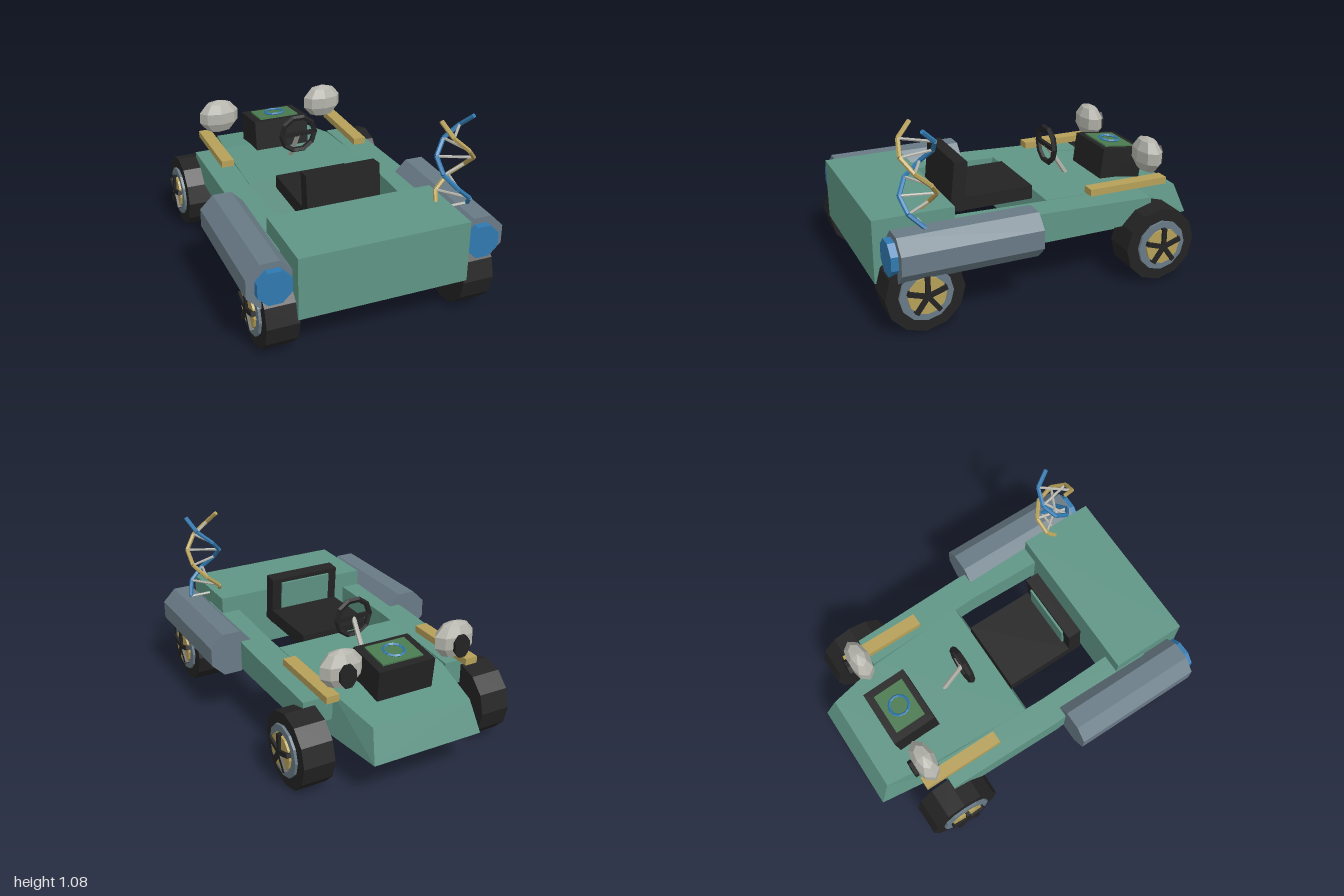
import * as THREE from 'three';

const mat = (name, color) => {
  const m = new THREE.MeshStandardMaterial({ color });
  m.name = name;
  return m;
};

export function createModel() {
  const car = new THREE.Group();
  car.name = 'buggy';
  const green = mat('body green', 0x5f9585);
  const black = mat('black', 0x232323);
  const steel = mat('steel grey', 0x687a85);
  const blue = mat('blue', 0x3079b0);
  const gold = mat('gold', 0xb59f58);
  const pale = mat('pale grey', 0xb4b4ac);
  const screenGreen = mat('screen green', 0x4a7a50);

  // Faceted mesh helper
  function add(name, geo, material, x = 0, y = 0, z = 0, parent = car) {
    const g = geo.index ? geo.toNonIndexed() : geo;
    g.computeVertexNormals();
    const mesh = new THREE.Mesh(g, material);
    mesh.name = name;
    mesh.position.set(x, y, z);
    parent.add(mesh);
    return mesh;
  }
  const box = (w, h, d) => new THREE.BoxGeometry(w, h, d);
  const cylX = (r, len, n) => new THREE.CylinderGeometry(r, r, len, n).rotateZ(Math.PI / 2);
  const cylZ = (r, len, n) => new THREE.CylinderGeometry(r, r, len, n).rotateY(Math.PI / n).rotateX(Math.PI / 2);

  // Solid through four-cornered sections, ordered by rising z
  function loft(sections) {
    const pos = [];
    const quad = (a, b, c, d) => pos.push(...a, ...b, ...c, ...a, ...c, ...d);
    for (let s = 0; s < sections.length - 1; s++) {
      const p = sections[s], q = sections[s + 1];
      for (let i = 0; i < 4; i++) {
        const j = (i + 1) % 4;
        quad(p[i], p[j], q[j], q[i]);
      }
    }
    const f = sections[0], l = sections[sections.length - 1];
    quad(f[3], f[2], f[1], f[0]);
    quad(l[0], l[1], l[2], l[3]);
    const g = new THREE.BufferGeometry();
    g.setAttribute('position', new THREE.Float32BufferAttribute(pos, 3));
    return g;
  }

  // Straight rod between two points
  function rod(name, a, b, r, material, n = 6) {
    const dir = b.clone().sub(a);
    const mesh = add(name, new THREE.CylinderGeometry(r, r, dir.length(), n), material);
    mesh.position.copy(a).add(b).multiplyScalar(0.5);
    mesh.quaternion.setFromUnitVectors(new THREE.Vector3(0, 1, 0), dir.normalize());
  }

  // Wedge nose: top z, y, half width; bottom z, half width
  const nose = [
    [-0.93, 0.41, 0.3, -1, 0.33],
    [-0.6, 0.465, 0.35, -0.6, 0.38],
    [-0.03, 0.49, 0.38, 0.03, 0.385],
  ].map(([zt, yt, wt, zb, wb]) => [[-wb, 0.23, zb], [wb, 0.23, zb], [wt, yt, zt], [-wt, yt, zt]]);
  add('nose', loft(nose), green);

  // Rear body block
  add('rearBody', box(0.96, 0.355, 0.45), green, 0, 0.415, 0.775);

  for (const s of [1, -1]) {
    const side = s > 0 ? 'left' : 'right';

    // Side rail: z, inner x, outer x, top
    const rail = [
      [-0.62, 0.36, 0.535, 0.465],
      [0.1, 0.38, 0.545, 0.49],
      [0.75, 0.365, 0.485, 0.5],
    ].map(([z, a, b, t]) => {
      const [l, r] = s > 0 ? [a, b] : [-b, -a];
      return [[l, 0.32, z], [r, 0.32, z], [r, t, z], [l, t, z]];
    });
    add(side + 'Rail', loft(rail), green);

    // Thruster pod with glowing end
    add(side + 'Pod', cylZ(0.138, 0.78, 8), steel, s * 0.598, 0.43, 0.535);
    add(side + 'PodEnd', cylZ(0.1, 0.04, 8), blue, s * 0.587, 0.43, 0.945);

    // Gold bar on the rail
    add(side + 'Bar', box(0.075, 0.04, 0.49), gold, s * 0.433, 0.525, -0.51);

    // Headlamp eye with pupil
    const eye = new THREE.SphereGeometry(1, 8, 5).scale(0.13, 0.11, 0.07);
    add(side + 'Eye', eye, pale, s * 0.352, 0.655, -0.693);
    const pupil = cylZ(1, 1, 8).scale(0.05, 0.068, 0.022);
    add(side + 'Pupil', pupil, black, s * 0.352, 0.64, -0.765);

    // Wheels
    for (const [end, z] of [['Rear', 0.78], ['Front', -0.625]]) {
      const wheel = new THREE.Group();
      wheel.name = side + end + 'Wheel';
      wheel.position.set(0, 0.217, z);
      car.add(wheel);
      add('tyre', cylX(0.217, 0.18, 12), black, s * 0.557, 0, 0, wheel);
      add('rim', cylX(0.148, 0.03, 12), steel, s * 0.647, 0, 0, wheel);
      add('hub', cylX(0.105, 0.03, 12), gold, s * 0.66, 0, 0, wheel);
      for (let i = 0; i < 5; i++) {
        const spoke = box(0.025, 0.11, 0.026).translate(0, 0.055, 0).rotateX(i * Math.PI * 0.4);
        add('spoke', spoke, black, s * 0.677, 0, 0, wheel);
      }
    }
  }

  // Seat
  add('seatBase', box(0.435, 0.08, 0.42), black, 0, 0.48, 0.19);
  const back = new THREE.Group();
  back.name = 'seatBack';
  back.position.set(0, 0.44, 0.44);
  back.rotation.x = -0.1;
  car.add(back);
  add('backrest', box(0.435, 0.29, 0.08), black, 0, 0.145, 0, back);
  add('backPanel', box(0.32, 0.17, 0.015), green, 0, 0.18, -0.045, back);

  // Steering wheel and column
  add('steeringWheel', new THREE.TorusGeometry(0.107, 0.017, 5, 10), black, 0, 0.67, -0.215);
  add('steeringSpoke', box(0.2, 0.025, 0.02), black, 0, 0.67, -0.215);
  rod('steeringColumn', new THREE.Vector3(0, 0.67, -0.215), new THREE.Vector3(0, 0.45, -0.36), 0.014, pale);

  // Dash console with round scope
  const dash = new THREE.Group();
  dash.name = 'console';
  dash.position.set(0, 0.635, -0.645);
  dash.rotation.x = -0.12;
  car.add(dash);
  add('consoleBox', box(0.345, 0.22, 0.27), black, 0, -0.11, 0, dash);
  add('screen', box(0.25, 0.009, 0.19), screenGreen, 0, 0.0045, 0.005, dash);
  add('scopeRing', new THREE.TorusGeometry(0.058, 0.008, 4, 12).rotateX(Math.PI / 2), blue, 0, 0.014, 0.005, dash);

  // Double helix mast
  const helix = (i, phase) => {
    const t = (i / 7) * Math.PI * 2 + phase;
    return new THREE.Vector3(0.505 + 0.097 * Math.cos(t), 0.56 + i * 0.073, 0.755 + 0.097 * Math.sin(t));
  };
  for (let i = 0; i < 7; i++) {
    rod('helixBlueStrand', helix(i, 0), helix(i + 1, 0), 0.013, blue);
    rod('helixGoldStrand', helix(i, Math.PI), helix(i + 1, Math.PI), 0.013, gold);
    rod('helixRung', helix(i, 0), helix(i, Math.PI), 0.008, pale);
  }

  return car;
}
